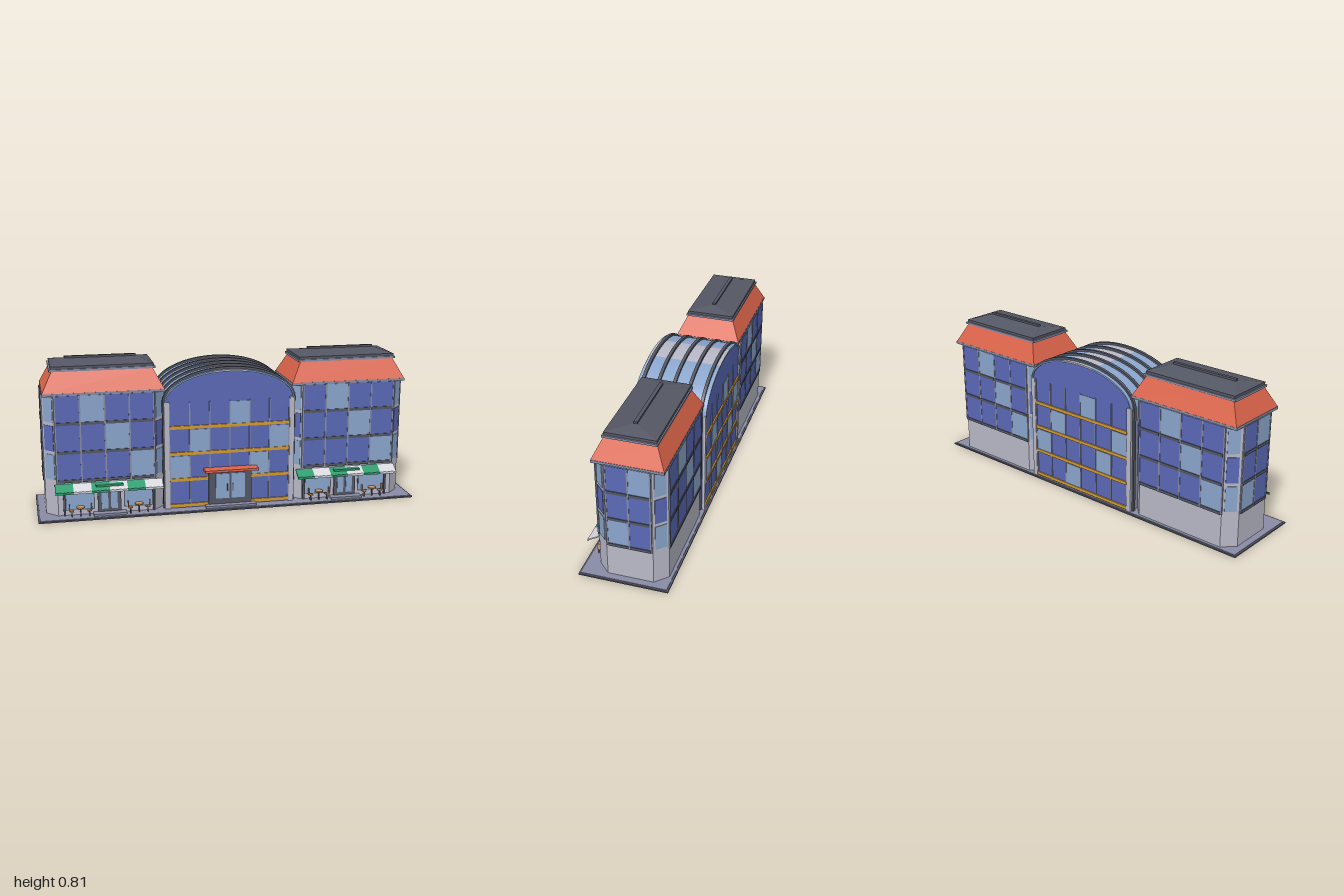
import * as THREE from 'three';

const mat = (name, color) => {
  const m = new THREE.MeshStandardMaterial({ color });
  m.name = name;
  return m;
};
const M = {
  wall: mat('pale wall', 0xb9b9c8),
  slate: mat('slate trim', 0x888ca5),
  dark: mat('dark metal', 0x545764),
  blue: mat('deep blue glass', 0x5a69b6),
  sky: mat('light glass', 0x8ba6cd),
  orange: mat('orange roof', 0xdc644a),
  yellow: mat('amber beam', 0xd39a34),
  green: mat('green awning', 0x2f9c70),
  white: mat('white awning', 0xd6d8dd),
  tan: mat('wood', 0xc9976b),
};

function add(parent, name, geo, material) {
  const mesh = new THREE.Mesh(geo, material);
  mesh.name = name;
  parent.add(mesh);
  return mesh;
}
// Box given by its limits on each axis
function box(parent, name, m, x0, x1, y0, y1, z0, z1) {
  const b = add(parent, name, new THREE.BoxGeometry(x1 - x0, y1 - y0, z1 - z0), m);
  b.position.set((x0 + x1) / 2, (y0 + y1) / 2, (z0 + z1) / 2);
  return b;
}
function group(parent, name, x = 0, y = 0, z = 0, turn = 0) {
  const g = new THREE.Group();
  g.name = name;
  g.position.set(x, y, z);
  g.rotation.y = turn;
  parent.add(g);
  return g;
}
// Rectangular frustum, half sizes at the bottom and top
function frustum(parent, name, m, y0, y1, x0, z0, x1, z1) {
  const geo = new THREE.BoxGeometry(2, 1, 2);
  const p = geo.attributes.position;
  for (let i = 0; i < p.count; i++) {
    const top = p.getY(i) > 0;
    p.setXYZ(i, p.getX(i) * (top ? x1 : x0), top ? y1 : y0, p.getZ(i) * (top ? z1 : z0));
  }
  geo.computeVertexNormals();
  return add(parent, name, geo, m);
}

// Three window rows on one tower wall, facing local +z
function windowWall(parent, width, cols, isLight) {
  const w = width / cols, h = 0.15;
  box(parent, 'windowBacking', M.slate, -width / 2, width / 2, 0.185, 0.637, -0.002, 0.002);
  for (let r = 0; r < 3; r++) {
    const y = 0.485 - r * h;
    for (let c = 0; c < cols; c++) {
      const x = -width / 2 + c * w;
      box(parent, 'window', isLight(r, c) ? M.sky : M.blue, x + 0.004, x + w - 0.004, y + 0.015, y + h, 0, 0.004);
      box(parent, 'spandrel', M.dark, x + 0.004, x + w - 0.004, y, y + 0.015, 0, 0.008);
    }
  }
  for (let c = 0; c <= cols; c++) {
    const x = -width / 2 + c * w;
    box(parent, 'mullion', M.slate, x - 0.004, x + 0.004, 0.185, 0.637, 0, 0.006);
  }
}

const HX = 0.31, HZ = 0.175, CH = 0.06;

function tower(parent, name, cx) {
  const t = group(parent, name, cx, 0, -0.025);
  // Body with cut corners
  const s = new THREE.Shape([
    [-HX + CH, -HZ], [HX - CH, -HZ], [HX, -HZ + CH], [HX, HZ - CH],
    [HX - CH, HZ], [-HX + CH, HZ], [-HX, HZ - CH], [-HX, -HZ + CH],
  ].map(([x, y]) => new THREE.Vector2(x, y)));
  const body = add(t, 'towerBody', new THREE.ExtrudeGeometry(s, { depth: 0.637, bevelEnabled: false }), M.wall);
  body.rotation.x = -Math.PI / 2;
  // Front, back and side windows
  const diagonal = (r, c) => c === r + 1;
  const sides = (r, c) => (r === 0 && c === 1) || (r === 2 && c === 0);
  windowWall(group(t, 'frontWindows', 0, 0, HZ), 0.5, 4, diagonal);
  windowWall(group(t, 'backWindows', 0, 0, -HZ, Math.PI), 0.5, 4, diagonal);
  for (const d of [-1, 1]) windowWall(group(t, 'sideWindows', d * HX, 0, 0, d * Math.PI / 2), 0.215, 2, sides);
  // Corner windows
  for (const dx of [-1, 1]) for (const dz of [-1, 1]) {
    const g = group(t, 'cornerWindows', dx * (HX - CH / 2), 0, dz * (HZ - CH / 2), Math.atan2(dx, dz));
    for (let r = 0; r < 3; r++) {
      const y = 0.2 + r * 0.15;
      box(g, 'cornerWindow', r === 1 ? M.blue : M.sky, -0.03, 0.03, y, y + 0.132, -0.002, 0.003);
    }
  }
  // Mansard roof
  box(t, 'cornice', M.slate, -HX, HX, 0.634, 0.648, -HZ, HZ);
  frustum(t, 'mansard', M.orange, 0.648, 0.75, 0.308, 0.174, 0.255, 0.126);
  box(t, 'roofTrim', M.slate, -0.268, 0.268, 0.75, 0.761, -0.132, 0.132);
  box(t, 'roofSlab', M.dark, -0.26, 0.26, 0.761, 0.775, -0.126, 0.126);
  frustum(t, 'roofCap', M.dark, 0.775, 0.796, 0.26, 0.126, 0.185, 0.008);
  box(t, 'ridge', M.dark, -0.183, 0.183, 0.79, 0.806, -0.009, 0.009);
}

// Elliptical band between two radii pairs
function band(a0, b0, a1, b1, t0, t1, legs) {
  const pts = [], n = Math.round((t1 - t0) / (Math.PI / 36)), y = 0.575;
  const at = (a, b, t) => new THREE.Vector2(a * Math.cos(t), y + b * Math.sin(t));
  if (legs) pts.push(new THREE.Vector2(a1, 0.008));
  for (let i = 0; i <= n; i++) pts.push(at(a1, b1, t0 + (t1 - t0) * i / n));
  if (legs) pts.push(new THREE.Vector2(-a1, 0.008), new THREE.Vector2(-a0, 0.008));
  for (let i = n; i >= 0; i--) pts.push(at(a0, b0, t0 + (t1 - t0) * i / n));
  if (legs) pts.push(new THREE.Vector2(a0, 0.008));
  return new THREE.Shape(pts);
}
function extrude(parent, name, shape, m, z0, z1) {
  const e = add(parent, name, new THREE.ExtrudeGeometry(shape, { depth: z1 - z0, bevelEnabled: false }), m);
  e.position.z = z0;
  return e;
}

function hall(parent) {
  const h = group(parent, 'centralHall');
  // Arched body
  const s = new THREE.Shape();
  s.moveTo(-0.342, 0.008);
  s.lineTo(0.342, 0.008);
  s.lineTo(0.342, 0.575);
  s.absellipse(0, 0.575, 0.342, 0.158, 0, Math.PI, false, 0);
  s.closePath();
  extrude(h, 'hallBody', s, [M.blue, M.slate], -0.205, 0.155);
  // Glass vault with a paler crown
  const P = Math.PI;
  [[0, P * 5 / 12, M.sky], [P * 5 / 12, P * 7 / 12, M.wall], [P * 7 / 12, P, M.sky]].forEach(([t0, t1, m]) =>
    extrude(h, 'vaultGlass', band(0.336, 0.154, 0.343, 0.163, t0, t1, false), m, -0.215, 0.165));
  // Arched ribs
  for (let i = 0; i < 5; i++) {
    const z = -0.187 + i * 0.0815;
    extrude(h, 'archRib', band(0.335, 0.156, 0.352, 0.175, 0, P, true), M.dark, z - 0.008, z + 0.008);
  }
  // Glazed grid on the front and back
  const light = [[3], [1, 5], [0, 4], [2]];
  for (const [name, z, turn] of [['frontGlazing', 0.155, 0], ['backGlazing', -0.205, P]]) {
    const g = group(h, name, 0, 0, z, turn);
    const w = 0.106, x0 = -0.318;
    light.forEach((cols, r) => cols.forEach((c) => {
      const y = 0.44 - r * 0.14;
      box(g, 'lightPane', M.sky, x0 + c * w, x0 + (c + 1) * w, y, y + 0.13, 0, 0.003);
    }));
    for (let c = 0; c <= 6; c++) box(g, 'hallMullion', M.slate, x0 + c * w - 0.003, x0 + c * w + 0.003, 0.008, 0.575, 0, 0.005);
    for (let r = 0; r < 4; r++) box(g, 'amberBeam', M.yellow, x0, -x0, 0.015 + r * 0.14, 0.032 + r * 0.14, 0, 0.007);
    for (const d of [-1, 1]) box(g, 'pier', M.wall, d * 0.333 - 0.013, d * 0.333 + 0.013, 0.008, 0.58, -0.002, 0.008);
  }
  // Main entrance
  box(h, 'doorFrame', M.dark, -0.115, 0.115, 0.02, 0.207, 0.15, 0.166);
  for (const d of [-1, 1]) {
    box(h, 'doorGlass', M.sky, d * 0.042 - 0.036, d * 0.042 + 0.036, 0.05, 0.185, 0.164, 0.169);
    box(h, 'doorHandle', M.dark, d * 0.014 - 0.003, d * 0.014 + 0.003, 0.09, 0.13, 0.166, 0.173);
  }
  box(h, 'entranceCanopy', M.orange, -0.142, 0.142, 0.207, 0.219, 0.15, 0.218);
  box(h, 'entranceStep', M.slate, -0.135, 0.135, 0.008, 0.02, 0.15, 0.2);
}

function cafe(parent, name, cx) {
  const g = group(parent, name, cx);
  // Shopfront windows and door
  for (const d of [-1, 1]) {
    box(g, 'shopFrame', M.dark, d * 0.15 - 0.075, d * 0.15 + 0.075, 0.035, 0.15, 0.149, 0.152);
    box(g, 'shopWindow', M.sky, d * 0.15 - 0.07, d * 0.15 + 0.07, 0.04, 0.145, 0.15, 0.155);
    box(g, 'shopPost', M.dark, d * 0.23 - 0.005, d * 0.23 + 0.005, 0.008, 0.15, 0.15, 0.16);
    box(g, 'shopDoor', M.sky, d * 0.024 - 0.017, d * 0.024 + 0.017, 0.035, 0.135, 0.155, 0.161);
  }
  box(g, 'shopDoorFrame', M.dark, -0.06, 0.06, 0.02, 0.15, 0.149, 0.158);
  box(g, 'shopStep', M.slate, -0.085, 0.085, 0.008, 0.02, 0.15, 0.198);
  // Striped awning
  const w = 0.55 / 6;
  for (let i = 0; i < 6; i++) {
    const m = i % 2 ? M.white : M.green, x = -0.275 + i * w;
    const a = box(g, 'awningStripe', m, x, x + w, 0.158, 0.164, 0.148, 0.21);
    a.rotation.x = 0.5;
    box(g, 'awningValance', m, x, x + w, 0.138, 0.15, 0.203, 0.207);
  }
  box(g, 'middleCanopy', M.green, -0.07, 0.07, 0.164, 0.174, 0.15, 0.192);
  // Tables and chairs
  for (const d of [-1, 1]) {
    const t = group(g, 'tableSet', d * 0.15, 0, 0.178);
    const top = add(t, 'tableTop', new THREE.CylinderGeometry(0.022, 0.022, 0.006, 12), M.tan);
    top.position.y = 0.057;
    box(t, 'tableLeg', M.dark, -0.003, 0.003, 0.008, 0.055, -0.003, 0.003);
    for (const c of [-1, 1]) {
      box(t, 'chairSeat', M.tan, c * 0.045 - 0.011, c * 0.045 + 0.011, 0.037, 0.042, -0.011, 0.011);
      box(t, 'chairBack', M.tan, c * 0.056 - 0.002, c * 0.056 + 0.002, 0.042, 0.074, -0.011, 0.011);
      for (const z of [-0.008, 0.008]) box(t, 'chairLeg', M.dark, c * 0.045 - 0.002, c * 0.045 + 0.002, 0.008, 0.038, z - 0.002, z + 0.002);
    }
  }
}

export function createModel() {
  const root = new THREE.Group();
  root.name = 'building';
  // Ground slab with paving
  box(root, 'baseSlab', M.dark, -1, 1, 0, 0.007, -0.225, 0.225);
  box(root, 'paving', M.slate, -0.99, 0.99, 0.004, 0.0095, -0.215, 0.215);
  hall(root);
  for (const [side, d] of [['left', 1], ['right', -1]]) {
    tower(root, side + 'Tower', d * 0.645);
    cafe(root, side + 'Cafe', d * 0.634);
  }
  return root;
}
